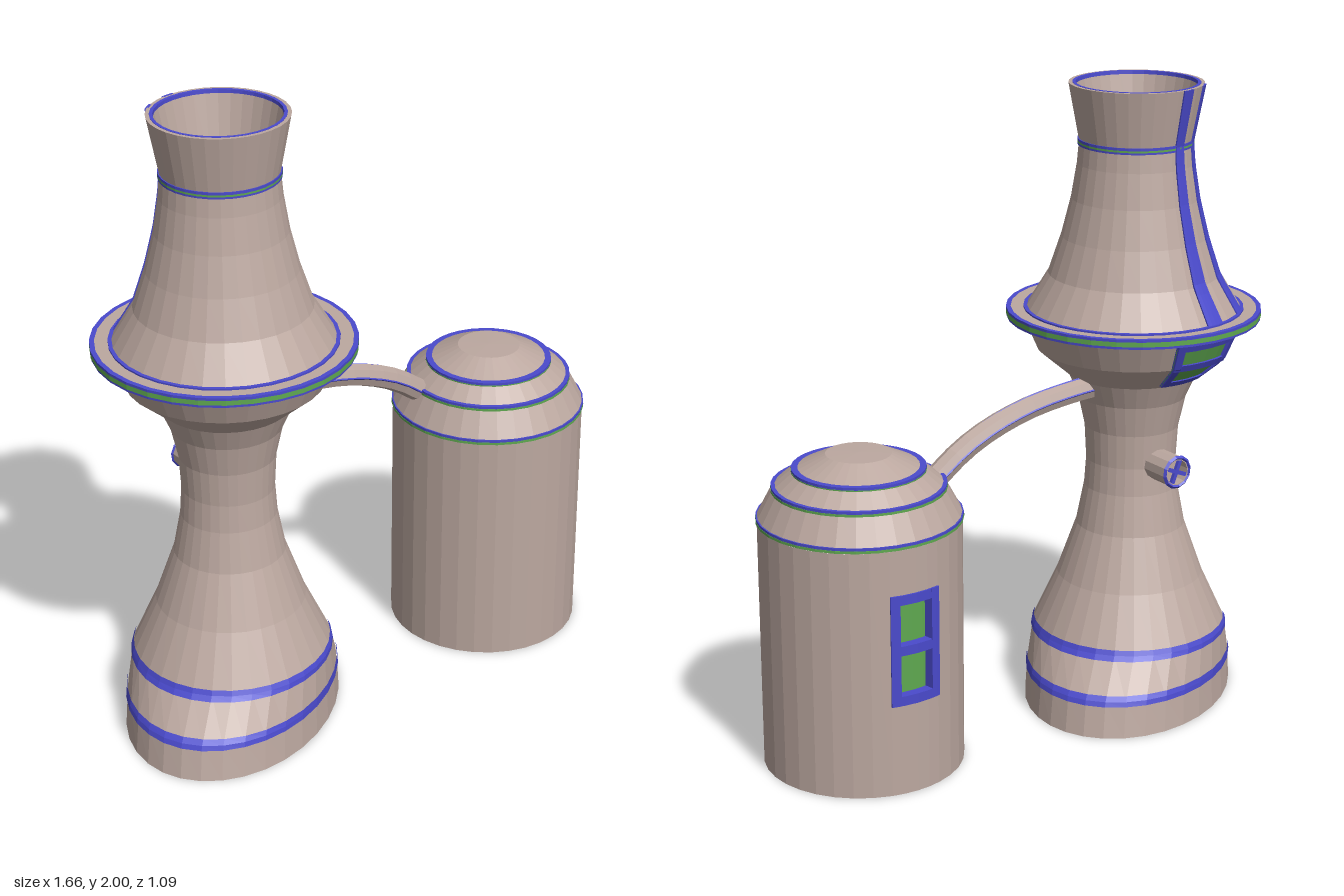
import * as THREE from 'three';

const SEG = 32;
const mat = (color) => new THREE.MeshStandardMaterial({ color, flatShading: true });
const STONE = mat(0xbca8a0), BLUE = mat(0x4a4acc), GREEN = mat(0x5fa850);

// Outer profiles as [radius, y], from bottom to top
const TOWER = [[0.325, 0], [0.32, 0.11], [0.312, 0.23], [0.235, 0.4], [0.175, 0.57], [0.15, 0.7], [0.144, 0.79],
  [0.15, 0.9], [0.172, 1.0], [0.205, 1.075], [0.305, 1.16], [0.345, 1.25], [0.35, 1.27], [0.34, 1.285], [0.27, 1.4],
  [0.23, 1.52], [0.2, 1.64], [0.182, 1.75], [0.176, 1.82], [0.21, 2]];
const DOME = [[0.31, 0.78], [0.31, 0.795], [0.262, 0.885], [0.2, 0.937], [0.1, 0.985]];
const TANK_R = 0.31;

// Piecewise linear lookup of column 0 by column 1
function lookup(table, y) {
  for (let i = 1; i < table.length; i++) {
    const [r0, y0] = table[i - 1], [r1, y1] = table[i];
    if (y <= y1) return r0 + (r1 - r0) * Math.max(0, (y - y0) / (y1 - y0));
  }
  return table[table.length - 1][0];
}
const towerR = (y) => lookup(TOWER, y);
const tankR = () => TANK_R;

function add(group, name, geometry, material) {
  const mesh = new THREE.Mesh(geometry, material);
  mesh.name = name;
  group.add(mesh);
  return mesh;
}

function lathe(points, start = 0, length = Math.PI * 2, seg = SEG) {
  return new THREE.LatheGeometry(points.map(([r, y]) => new THREE.Vector2(r, y)), seg, start, length);
}

// Flat-edged hoop with an inner and outer radius
const hoop = (rIn, rOut, y0, y1) => lathe([[rIn, y0], [rOut, y0], [rOut, y1], [rIn, y1]]);

// Stretches the foot of the tower into an oval along a slanted axis
function stretchFoot(geo) {
  const table = [[1.41, 0], [1.36, 0.11], [1.05, 0.23], [1.02, 0.4], [1, 0.57]];
  const ax = -0.507, az = 0.861, p = geo.attributes.position;
  for (let i = 0; i < p.count; i++) {
    const x = p.getX(i), z = p.getZ(i);
    const d = (x * ax + z * az) * (lookup(table, p.getY(i)) - 1);
    p.setX(i, x + ax * d);
    p.setZ(i, z + az * d);
  }
  geo.computeVertexNormals();
  return geo;
}

// Box wrapped on a round wall: angle a (x = cos, z = sin), half width w, depths d0..d1 from the wall
function bentBox(rAt, y0, y1, a, w, d0, d1, rows = 1) {
  const geo = new THREE.BoxGeometry(2 * w, y1 - y0, d1 - d0, 4, rows, 1);
  const p = geo.attributes.position;
  for (let i = 0; i < p.count; i++) {
    const y = p.getY(i) + (y0 + y1) / 2;
    const r = rAt(y) + p.getZ(i) + (d0 + d1) / 2, t = a - p.getX(i);
    p.setXYZ(i, r * Math.cos(t), y, r * Math.sin(t));
  }
  geo.computeVertexNormals();
  return geo;
}

// Window with pane, frame and one crossbar
function addWindow(group, rAt, y0, y1, a, w, bar, pane, d0, d1, rows) {
  const b = bar / rAt((y0 + y1) / 2), mid = (y0 + y1) / 2;
  add(group, 'windowPane', bentBox(rAt, y0, y1, a, w, pane - 0.005, pane, rows), GREEN);
  for (const s of [-1, 1]) {
    add(group, 'windowJamb', bentBox(rAt, y0, y1, a + s * (w - b / 2), b / 2, d0, d1, rows), BLUE);
  }
  for (const y of [y0, mid - bar / 2, y1 - bar]) {
    add(group, 'windowBar', bentBox(rAt, y, y + bar, a, w, d0, d1), BLUE);
  }
}

function makeTower() {
  const g = new THREE.Group();
  g.name = 'tower';
  const wall = [[0, 0], ...TOWER, [0.19, 2], [0.146, 1.8], [0, 1.8]];
  add(g, 'towerWall', stretchFoot(lathe(wall)), STONE);

  // Painted bands on the oval foot
  for (const y of [0.1, 0.215]) {
    const pts = [0, 0.015, 0.03].map((d) => [towerR(y + d) + 0.004, y + d]);
    add(g, 'footBand', stretchFoot(lathe(pts)), BLUE);
  }
  // Projecting gallery
  add(g, 'galleryLedge', hoop(0.33, 0.395, 1.262, 1.288), STONE);
  add(g, 'galleryBand', hoop(0.38, 0.402, 1.268, 1.283), GREEN);
  add(g, 'galleryLowerEdge', hoop(0.385, 0.4, 1.26, 1.268), BLUE);
  add(g, 'galleryUpperEdge', hoop(0.387, 0.402, 1.283, 1.291), BLUE);
  add(g, 'galleryInnerEdge', hoop(0.32, 0.347, 1.285, 1.293), BLUE);
  // Neck and rim bands
  add(g, 'neckLowerBand', hoop(0.17, 0.181, 1.808, 1.814), BLUE);
  add(g, 'neckBand', hoop(0.17, 0.181, 1.814, 1.82), GREEN);
  add(g, 'neckUpperBand', hoop(0.17, 0.181, 1.82, 1.828), BLUE);
  add(g, 'rimBand', lathe([[0.198, 2.0], [0.198, 2.001], [0.188, 2.001], [0.187, 1.99]]), BLUE);

  // Two vertical stripes on the back
  for (const deg of [207, 237]) {
    const a = THREE.MathUtils.degToRad(deg);
    add(g, 'stripe', bentBox(towerR, 1.29, 2, a, 0.1, -0.005, 0.004, 24), BLUE);
  }
  // Window under the gallery
  addWindow(g, towerR, 1.085, 1.25, THREE.MathUtils.degToRad(243), 0.34, 0.022, 0.008, -0.01, 0.018, 6);

  // Outlet with a grille
  const outlet = new THREE.Group();
  outlet.name = 'outlet';
  add(outlet, 'outletPipe', lathe([[0.05, 0.1], [0.05, 0.24], [0.04, 0.24], [0.04, 0.2], [0, 0.2]], 0, Math.PI * 2, 12), STONE);
  const rim = add(outlet, 'outletRim', new THREE.TorusGeometry(0.048, 0.007, 4, 12), BLUE);
  rim.rotation.x = Math.PI / 2;
  rim.position.y = 0.238;
  for (const turn of [0, Math.PI / 2]) {
    const bar = add(outlet, 'outletBar', new THREE.BoxGeometry(0.085, 0.012, 0.012), BLUE);
    bar.position.y = 0.232;
    bar.rotation.y = turn;
  }
  const a = THREE.MathUtils.degToRad(248);
  outlet.quaternion.setFromUnitVectors(new THREE.Vector3(0, 1, 0), new THREE.Vector3(Math.cos(a), 0, Math.sin(a)));
  outlet.position.y = 0.8;
  g.add(outlet);
  g.position.set(-0.425, 0, 0.115);
  return g;
}

function makeTank() {
  const g = new THREE.Group();
  g.name = 'tank';
  const a = THREE.MathUtils.degToRad(248), w = 0.27, y0 = 0.29, y1 = 0.64;
  // Wall with an opening for the window
  const wall = (from, to, start, length, seg) =>
    add(g, 'tankWall', lathe([[TANK_R, from], [TANK_R, to]], start, length, seg), STONE);
  wall(0, 0.78, Math.PI / 2 - a + w, Math.PI * 2 - 2 * w, 30);
  wall(0, y0, Math.PI / 2 - a - w, 2 * w, 4);
  wall(y1, 0.78, Math.PI / 2 - a - w, 2 * w, 4);
  add(g, 'tankFloor', lathe([[0, 0], [TANK_R, 0]]), STONE);
  addWindow(g, tankR, y0, y1, a, w, 0.03, -0.025, -0.035, 0.006, 1);

  // Stepped dome with a green and blue band at every step
  add(g, 'dome', lathe([...DOME, [0, 0.987]]), STONE);
  for (const [r, y] of [[0.31, 0.782], [0.262, 0.877], [0.2, 0.929]]) {
    add(g, 'domeBand', hoop(r - 0.02, r + 0.004, y, y + 0.008), GREEN);
    add(g, 'domeEdge', hoop(r - 0.02, r + 0.003, y + 0.008, y + 0.016), BLUE);
  }
  g.position.set(0.515, 0, -0.235);
  return g;
}

function makePipe() {
  const g = new THREE.Group();
  g.name = 'connectingPipe';
  const path = [[-0.27, 1.055], [-0.19, 1.05], [-0.05, 1.03], [0.08, 0.99], [0.18, 0.94], [0.26, 0.88], [0.34, 0.82]];
  const curve = (up, side) => new THREE.CatmullRomCurve3(path.map(([x, y]) =>
    new THREE.Vector3(x + side * 0.38, y + up, -0.075 - 0.41 * x + side * 0.925)));
  add(g, 'pipe', new THREE.TubeGeometry(curve(0, 0), 12, 0.037, 8), STONE);
  // Stripes along the top and both sides
  for (const [up, side] of [[0.027, 0], [0, 0.027], [0, -0.027]]) {
    add(g, 'pipeStripe', new THREE.TubeGeometry(curve(up, side), 12, 0.012, 4), BLUE);
  }
  // Collar where the pipe enters the dome
  const main = curve(0, 0);
  const collar = add(g, 'pipeCollar', new THREE.TorusGeometry(0.04, 0.009, 4, 8), BLUE);
  collar.position.copy(main.getPoint(0.9));
  collar.lookAt(main.getPoint(0.9).add(main.getTangent(0.9)));
  return g;
}

export function createModel() {
  const model = new THREE.Group();
  model.name = 'towerWithTank';
  model.add(makeTower(), makeTank(), makePipe());
  return model;
}
